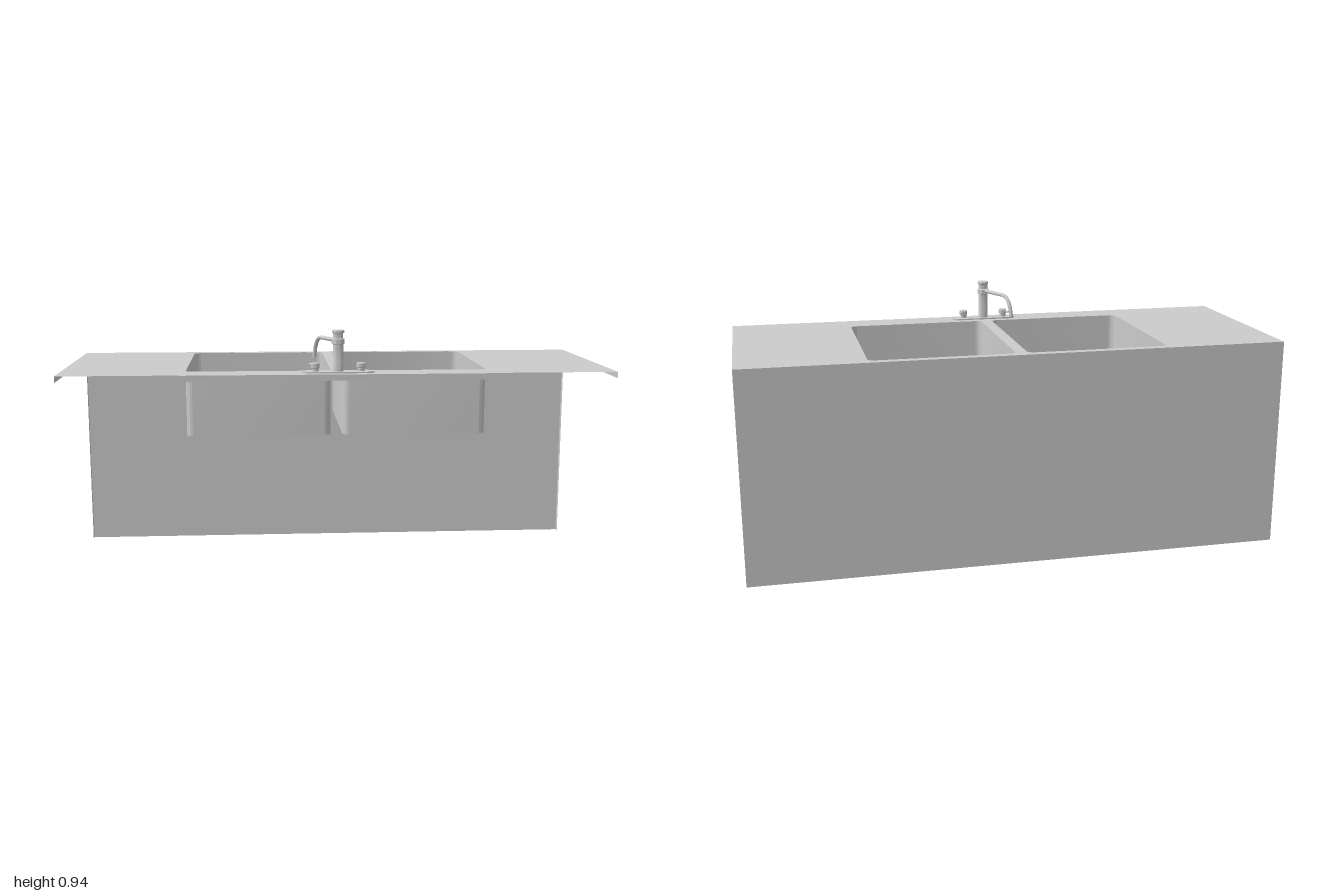
import * as THREE from 'three';
import { toCreasedNormals } from 'three/addons/utils/BufferGeometryUtils.js';

const material = new THREE.MeshStandardMaterial({ color: 0xcccccc, side: THREE.DoubleSide });

const TOP = 0.79, UNDER = 0.767, FLOOR = 0.553;
const FRONT = 0.377, BACK = -0.377, THICK = 0.023;
const BASINS = [{ name: 'rightBasin', x0: -0.553, x1: -0.027 }, { name: 'leftBasin', x0: 0.015, x1: 0.543 }];
const BASIN_BACK = -0.346, BASIN_FRONT = 0.27;

function add(parent, name, geometry, x = 0, y = 0, z = 0) {
  const mesh = new THREE.Mesh(geometry, material);
  mesh.name = name;
  mesh.position.set(x, y, z);
  parent.add(mesh);
  return mesh;
}

// Plan outlines use shape y = -z, so that rotateX(-90 deg) lays them flat
function roundedRect(x0, x1, z0, z1, r, Type = THREE.Shape) {
  const s = new Type(), a = -z1, b = -z0;
  if (r === 0) {
    s.moveTo(x0, a).lineTo(x1, a).lineTo(x1, b).lineTo(x0, b).closePath();
    return s;
  }
  s.absarc(x1 - r, a + r, r, -Math.PI / 2, 0);
  s.absarc(x1 - r, b - r, r, 0, Math.PI / 2);
  s.absarc(x0 + r, b - r, r, Math.PI / 2, Math.PI);
  s.absarc(x0 + r, a + r, r, Math.PI, Math.PI * 1.5);
  s.closePath();
  return s;
}

const basinOutline = (b, Type) => roundedRect(b.x0, b.x1, BASIN_BACK, BASIN_FRONT, 0.025, Type);

function withBasinHoles(shape) {
  BASINS.forEach((b) => shape.holes.push(basinOutline(b, THREE.Path)));
  return shape;
}

function flat(shape) {
  return new THREE.ShapeGeometry(shape, 6).rotateX(-Math.PI / 2);
}

function slab(shape, height) {
  const g = new THREE.ExtrudeGeometry(shape, { depth: height, bevelEnabled: false, curveSegments: 6 });
  return toCreasedNormals(g.rotateX(-Math.PI / 2), 0.6);
}

// Open vertical wall following a closed plan outline
function wall(shape, y0, y1) {
  const pts = shape.getPoints(6);
  const pos = [];
  pts.forEach((p, i) => {
    const q = pts[(i + 1) % pts.length];
    if (p.distanceTo(q) < 1e-6) return;
    pos.push(p.x, y0, -p.y, q.x, y0, -q.y, q.x, y1, -q.y);
    pos.push(p.x, y0, -p.y, q.x, y1, -q.y, p.x, y1, -p.y);
  });
  const g = new THREE.BufferGeometry();
  g.setAttribute('position', new THREE.Float32BufferAttribute(pos, 3));
  return toCreasedNormals(g, 0.6);
}

function lathe(points, segments = 24) {
  const g = new THREE.LatheGeometry(points.map(([r, y]) => new THREE.Vector2(r, y)), segments);
  return toCreasedNormals(g, 0.6);
}

function createCounter() {
  const counter = new THREE.Group();
  counter.name = 'counter';

  // Thin worktop and back panel
  add(counter, 'worktop', flat(withBasinHoles(roundedRect(-1, 1, BACK, FRONT, 0))), 0, TOP, 0);
  add(counter, 'backPanel', new THREE.PlaneGeometry(2, TOP).rotateY(Math.PI), 0, TOP / 2, BACK);

  // Thick sink surround under the worktop
  const surround = withBasinHoles(roundedRect(-0.567, 0.56, BACK + THICK, FRONT, 0));
  add(counter, 'sinkSurround', slab(surround, TOP - UNDER - 0.001), 0, UNDER, 0);

  // L-shaped edge strips at both ends
  const edge = new THREE.Shape([[BACK, 0], [BACK + THICK, 0], [BACK + THICK, UNDER], [FRONT, UNDER],
    [FRONT, TOP], [BACK, TOP]].map(([z, y]) => new THREE.Vector2(-z, y)));
  for (const side of [1, -1]) {
    const strip = add(counter, side > 0 ? 'leftEdge' : 'rightEdge',
      new THREE.ShapeGeometry(edge).rotateY(Math.PI / 2), side, 0, 0);
    if (side < 0) {
      // Facing outward on the other end
      strip.geometry = new THREE.ShapeGeometry(
        new THREE.Shape(edge.getPoints().map((p) => new THREE.Vector2(-p.x, p.y)))).rotateY(-Math.PI / 2);
    }
  }
  return counter;
}

function createBasin(b) {
  const basin = new THREE.Group();
  basin.name = b.name;
  add(basin, 'basinWalls', wall(basinOutline(b), FLOOR, UNDER));
  add(basin, 'basinFloor', flat(basinOutline(b)), 0, FLOOR, 0);
  return basin;
}

function createTap() {
  const tap = new THREE.Group();
  tap.name = 'tap';
  tap.position.set(-0.005, TOP, 0.325);

  // Oval mounting plate
  add(tap, 'mountingPlate', slab(roundedRect(-0.13, 0.13, -0.03, 0.03, 0.0299), 0.005));

  // Column with collar and cap
  add(tap, 'column', lathe([[0, 0], [0.019, 0], [0.019, 0.034], [0.0185, 0.036], [0.0185, 0.101],
    [0.023, 0.103], [0.023, 0.12], [0.018, 0.123], [0.018, 0.14], [0.022, 0.143], [0.022, 0.15], [0.02, 0.152], [0, 0.152]]));

  // Spout: straight run, then a downward bend
  const path = new THREE.CurvePath();
  const v = (x, y) => new THREE.Vector3(x, y, 0);
  path.add(new THREE.LineCurve3(v(0, 0.114), v(0.136, 0.114)));
  path.add(new THREE.CubicBezierCurve3(v(0.136, 0.114), v(0.168, 0.112), v(0.187, 0.085), v(0.193, 0.035)));
  const spout = add(tap, 'spout', new THREE.TubeGeometry(path, 32, 0.0075, 12));
  spout.rotation.y = Math.atan2(0.185, -0.08);
  const end = add(spout, 'spoutEnd', new THREE.CircleGeometry(0.0075, 12).rotateX(Math.PI / 2), 0.193, 0.035, 0);
  end.rotation.z = 0.12;

  // Two handles with small levers
  for (const side of [1, -1]) {
    const handle = new THREE.Group();
    handle.name = side > 0 ? 'leftHandle' : 'rightHandle';
    handle.position.set(side * 0.082, 0, 0);
    add(handle, 'knob', lathe([[0.012, 0], [0.012, 0.016], [0.016, 0.018], [0.016, 0.033], [0.014, 0.035], [0, 0.035]], 16));
    const lever = add(handle, 'lever', new THREE.CylinderGeometry(0.004, 0.004, 0.034, 8).rotateX(Math.PI / 2),
      side * 0.01, 0.027, -0.016);
    lever.rotation.y = -side * 0.6;
    tap.add(handle);
  }
  return tap;
}

export function createModel() {
  const model = new THREE.Group();
  model.name = 'sinkCounter';
  model.add(createCounter(), ...BASINS.map(createBasin), createTap());
  return model;
}
